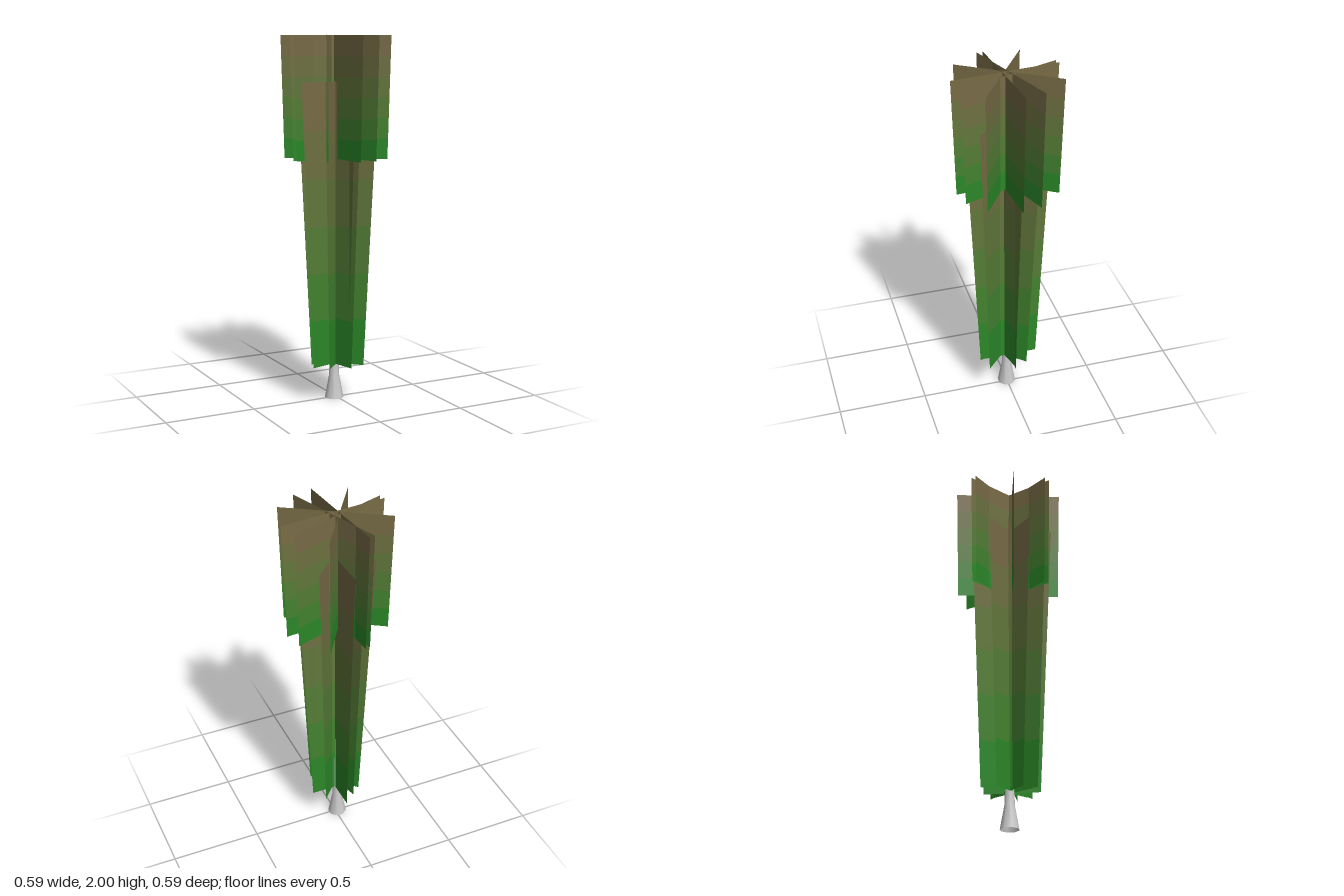
import * as THREE from 'three';

// Foliage cards: each is the top edge of an upright trapezoid, [x1, z1, x2, z2]
const lowerCards = [
  [-0.173, -0.125, 0.158, 0.185],
  [-0.222, -0.01, 0.22, -0.012],
  [-0.16, 0.187, 0.15, -0.145],
  [0.002, -0.25, 0.007, 0.21],
  [-0.247, 0.085, 0.2, -0.035],
  [-0.083, -0.19, 0.03, 0.235],
];
const upperCards = [
  [-0.295, 0.047, 0.295, -0.01],
  [-0.26, -0.145, 0.24, 0.178],
  [-0.178, 0.235, 0.145, -0.262],
  [-0.052, -0.293, 0.005, 0.295],
  [-0.288, 0.082, 0.27, -0.12],
  [-0.083, -0.285, 0.115, 0.27],
];

const leafGreen = new THREE.Color(0x158a24);
const dryBrown = new THREE.Color(0x7d6848);
const BANDS = 6;

// One horizontal slice (t0 to t1 of the height) of all cards in a tier
function sliceGeometry(cards, y0, y1, taper, t0, t1) {
  const positions = [], index = [];
  cards.forEach(([x1, z1, x2, z2], i) => {
    const cx = (x1 + x2) / 2, cz = (z1 + z2) / 2;
    for (const t of [t0, t1]) {
      const s = THREE.MathUtils.lerp(taper, 1, t);
      const y = THREE.MathUtils.lerp(y0, y1, t);
      positions.push(cx + (x1 - cx) * s, y, cz + (z1 - cz) * s);
      positions.push(cx + (x2 - cx) * s, y, cz + (z2 - cz) * s);
    }
    const k = i * 4;
    index.push(k, k + 1, k + 3, k, k + 3, k + 2);
  });
  const geometry = new THREE.BufferGeometry();
  geometry.setAttribute('position', new THREE.Float32BufferAttribute(positions, 3));
  geometry.setIndex(index);
  geometry.computeVertexNormals();
  return geometry;
}

// A tier of crossed cards, shaded from green at the foot to brown at the top
function foliageTier(name, cards, y0, y1, taper) {
  const tier = new THREE.Group();
  tier.name = name;
  for (let b = 0; b < BANDS; b++) {
    const color = leafGreen.clone().lerp(dryBrown, (b + 0.5) / BANDS);
    const band = new THREE.Mesh(
      sliceGeometry(cards, y0, y1, taper, b / BANDS, (b + 1) / BANDS),
      new THREE.MeshStandardMaterial({ color, side: THREE.DoubleSide })
    );
    band.name = `${name}Band${b + 1}`;
    tier.add(band);
  }
  return tier;
}

export function createModel() {
  const model = new THREE.Group();
  model.name = 'tree';

  // Trunk: flared foot, then a long thin taper hidden inside the foliage
  const profile = [[0.052, 0], [0.028, 0.13], [0.025, 0.22], [0.018, 1], [0.008, 1.75], [0, 1.8]]
    .map(([r, y]) => new THREE.Vector2(r, y));
  const trunk = new THREE.Mesh(
    new THREE.LatheGeometry(profile, 8, Math.PI / 8),
    new THREE.MeshStandardMaterial({ color: 0xcccccc, side: THREE.DoubleSide })
  );
  trunk.name = 'trunk';
  trunk.position.x = -0.012;
  model.add(trunk);

  model.add(foliageTier('lowerFoliage', lowerCards, 0.2, 1.755, 0.66));
  model.add(foliageTier('upperFoliage', upperCards, 1.34, 2, 0.94));
  return model;
}
